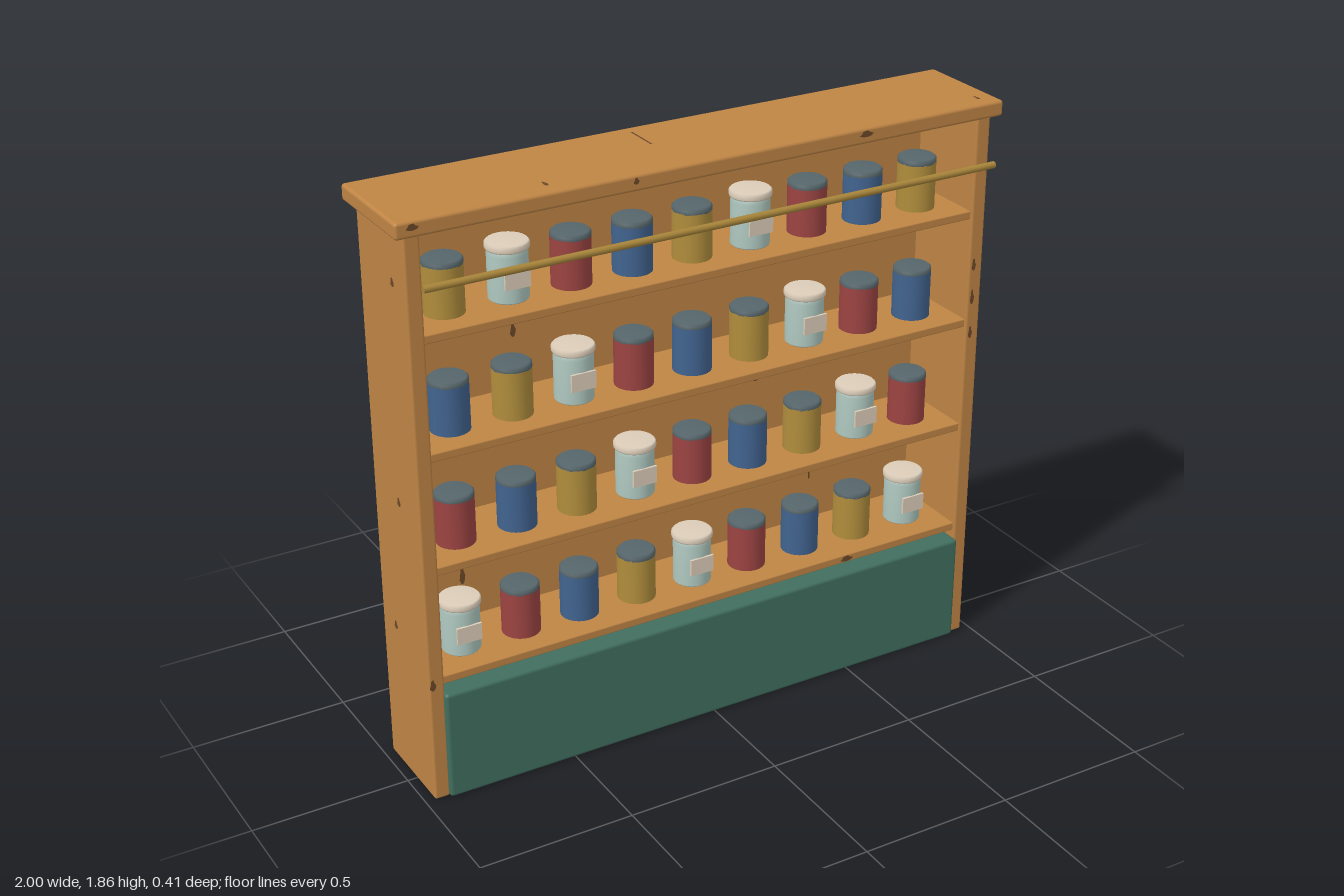
import * as THREE from 'three';
import { RoundedBoxGeometry } from 'three/addons/geometries/RoundedBoxGeometry.js';

const mat = (name, color) => {
  const m = new THREE.MeshStandardMaterial({ color });
  m.name = name;
  return m;
};

export function createModel() {
  const M = {
    wood: mat('wood', 0xbf8545),
    stain: mat('dark wood stain', 0x6e4828),
    green: mat('green paint', 0x416f5f),
    brass: mat('brass', 0xa8853a),
    yellow: mat('yellow jar', 0xb08d3c),
    red: mat('red jar', 0x9c4442),
    blue: mat('blue jar', 0x41638f),
    glass: mat('pale glass', 0xafc8c0),
    slate: mat('slate lid', 0x56666b),
    cream: mat('cream', 0xdccdb9),
  };
  const model = new THREE.Group();
  model.name = 'jarShelf';

  const add = (parent, name, geometry, material, x = 0, y = 0, z = 0) => {
    const mesh = new THREE.Mesh(geometry, material);
    mesh.name = name;
    mesh.position.set(x, y, z);
    parent.add(mesh);
    return mesh;
  };
  // Board with softened edges, given by its extents
  const board = (name, material, x0, x1, y0, y1, z0, z1, r = 0.008) =>
    add(model, name, new RoundedBoxGeometry(x1 - x0, y1 - y0, z1 - z0, 2, r), material,
      (x0 + x1) / 2, (y0 + y1) / 2, (z0 + z1) / 2);

  // Carcass
  board('topCap', M.wood, -1, 1, 1.81, 1.86, -0.205, 0.155, 0.01);
  board('leftSide', M.wood, 0.92, 0.97, 0, 1.815, -0.18, 0.135);
  board('rightSide', M.wood, -0.97, -0.92, 0, 1.815, -0.18, 0.135);
  add(model, 'backPanel', new THREE.BoxGeometry(1.85, 1.81, 0.02), M.wood, 0, 0.907, -0.16);
  board('greenBase', M.green, -0.925, 0.925, 0, 0.362, -0.155, 0.15, 0.012);

  // Front rail
  const rail = add(model, 'frontRail', new THREE.CylinderGeometry(0.011, 0.011, 1.89, 12), M.brass, 0, 1.677, 0.195);
  rail.rotation.z = Math.PI / 2;

  // Jars: body and lid turned on a lathe
  const lathe = pts => new THREE.LatheGeometry(pts.map(p => new THREE.Vector2(p[0], p[1])), 24);
  const bodyGeo = new THREE.CylinderGeometry(0.06, 0.06, 0.15, 24);
  const lidGeo = lathe([[0.058, 0.146], [0.06, 0.148], [0.06, 0.16], [0.054, 0.166], [0, 0.166]]);
  const glassGeo = lathe([[0, 0], [0.057, 0], [0.06, 0.004], [0.06, 0.14], [0.053, 0.156]]);
  const creamLidGeo = lathe([[0.05, 0.153], [0.063, 0.153], [0.065, 0.157], [0.065, 0.17], [0.06, 0.175], [0, 0.175]]);
  const labelGeo = new THREE.BoxGeometry(0.08, 0.055, 0.008);
  const kinds = ['glass', 'red', 'blue', 'yellow'];

  const makeJar = kind => {
    const jar = new THREE.Group();
    jar.name = kind + 'Jar';
    if (kind === 'glass') {
      add(jar, 'jarBody', glassGeo, M.glass);
      add(jar, 'jarLid', creamLidGeo, M.cream);
      add(jar, 'jarLabel', labelGeo, M.cream, 0, 0.076, 0.061);
    } else {
      add(jar, 'jarBody', bodyGeo, M[kind], 0, 0.075, 0);
      add(jar, 'jarLid', lidGeo, M.slate);
    }
    return jar;
  };

  // Shelves, each with nine jars in a shifting colour cycle
  [0.415, 0.78, 1.145, 1.508].forEach((y, row) => {
    board('shelf', M.wood, -0.925, 0.925, y - 0.027, y, -0.155, 0.125, 0.004);
    for (let i = 0; i < 9; i++) {
      const jar = makeJar(kinds[(i + row) % 4]);
      jar.position.set(-0.8 + i * 0.2, y, 0);
      model.add(jar);
    }
  });

  // Knots and grain marks: thin uneven discs
  const knotGeo = new THREE.CircleGeometry(0.5, 9);
  const p = knotGeo.attributes.position;
  for (let i = 1; i < p.count; i++) {
    const k = 0.85 + 0.2 * Math.sin((i % 9) * 2.3);
    p.setXY(i, p.getX(i) * k, p.getY(i) * k);
  }
  const grainGeo = new THREE.PlaneGeometry(1, 1);
  const mark = (geo, x, y, z, w, h, ry = 0, rx = 0) => {
    const m = add(model, geo === knotGeo ? 'knot' : 'grainMark', geo, M.stain, x, y, z);
    m.scale.set(w, h, 1);
    m.rotation.set(rx, ry, 0);
  };

  // Back face: x, y, height
  [[0.85, 1.21, 0.03], [0.66, 0.7, 0.03], [-0.01, 0.88, 0.04], [-0.28, 0.96, 0.035],
    [-0.58, 1.21, 0.03], [-0.77, 0.69, 0.03], [-0.46, 0.38, 0.035]]
    .forEach(([x, y, h]) => mark(knotGeo, x, y, -0.172, 0.04, h, Math.PI));
  [[0.72, 1.64, 0.11], [0.72, 1.22, 0.15], [0.72, 0.69, 0.06], [0.72, 0.3, 0.08],
    [0.53, 1.16, 0.43], [0.53, 0.6, 0.08], [0.53, 0.2, 0.08],
    [0.33, 1.42, 0.32], [0.33, 0.85, 0.08], [0.33, 0.3, 0.1],
    [0.13, 1.35, 0.19], [0.13, 0.75, 0.06], [0.13, 0.28, 0.1],
    [-0.03, 1.2, 0.15], [-0.03, 0.6, 0.08], [-0.03, 0.1, 0.1],
    [-0.5, 1.4, 0.08], [-0.5, 0.9, 0.1], [-0.5, 0.25, 0.1],
    [-0.69, 1.5, 0.08], [-0.69, 0.95, 0.08], [-0.69, 0.35, 0.06]]
    .forEach(([x, y, h]) => mark(grainGeo, x, y, -0.172, 0.008, h, Math.PI));

  // Inside of the back panel
  [[-0.65, 0.72, 0.04], [0.81, 0.72, 0.04], [0.32, 0.98, 0.045], [-0.52, 1.33, 0.06], [-0.11, 1.6, 0.06],
    [-0.11, 1.21, 0.06], [-0.72, 0.56, 0.08]]
    .forEach(([x, y, h]) => mark(knotGeo, x, y, -0.148, h > 0.05 ? 0.02 : 0.035, h));
  [[-0.11, 1.47, 0.1], [-0.31, 1.72, 0.06], [-0.11, 1.02, 0.08], [-0.11, 0.68, 0.07], [0.53, 0.6, 0.08]]
    .forEach(([x, y, h]) => mark(grainGeo, x, y, -0.148, 0.006, h));

  // Front edges of shelf, sides and cap
  mark(knotGeo, 0.5, 0.402, 0.127, 0.05, 0.024);
  mark(knotGeo, -0.958, 0.4, 0.137, 0.022, 0.045);
  [[1.33, 0.05], [1.22, 0.06], [1.1, 0.05]].forEach(([y, h]) => mark(knotGeo, 0.936, y, 0.137, 0.016, h));
  [[-0.27, 0.02], [-0.95, 0.04], [0.5, 0.05]].forEach(([x, w]) => mark(knotGeo, x, 1.842, 0.157, w, 0.024));
  [[-0.3, 0.02], [0.5, 0.04], [-0.85, 0.03]].forEach(([x, w]) => mark(knotGeo, x, 1.835, -0.2065, w, 0.025, Math.PI));

  // Outer sides and cap top
  mark(knotGeo, 0.972, 0.9, -0.06, 0.04, 0.05, Math.PI / 2);
  [[1.65, 0.05], [0.95, 0], [0.5, -0.08]].forEach(([y, z]) => mark(knotGeo, -0.972, y, z, 0.025, 0.035, -Math.PI / 2));
  mark(grainGeo, -0.11, 1.8615, -0.1, 0.006, 0.12, 0, -Math.PI / 2);
  mark(knotGeo, -0.52, 1.8615, 0.09, 0.015, 0.04, 0, -Math.PI / 2);
  mark(knotGeo, 0.94, 1.8615, 0.1, 0.012, 0.04, 0, -Math.PI / 2);

  return model;
}
